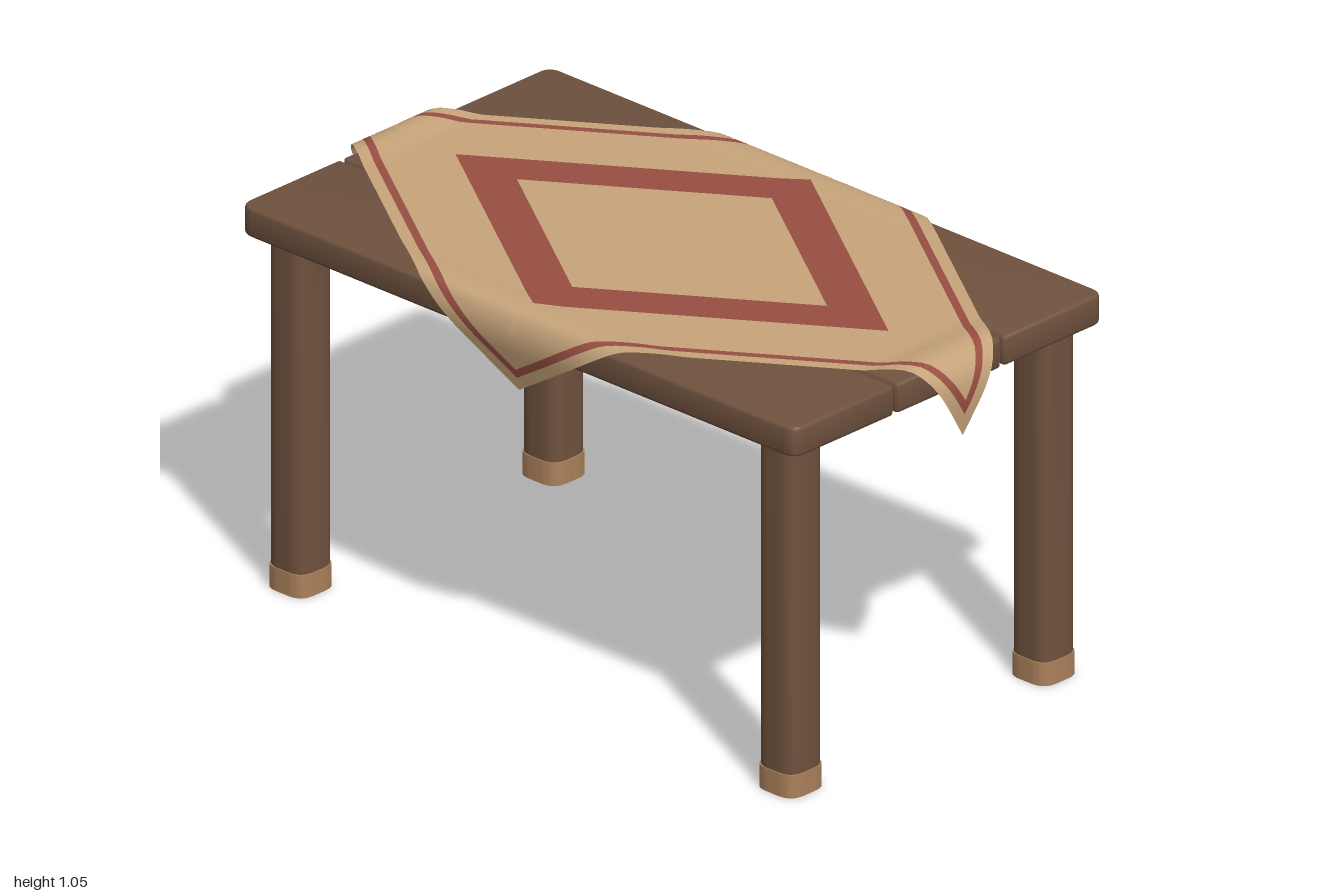
import * as THREE from 'three';
import { toCreasedNormals } from 'three/addons/utils/BufferGeometryUtils.js';

const mat = (name, color, side = THREE.FrontSide) => {
  const m = new THREE.MeshStandardMaterial({ color, side });
  m.name = name;
  return m;
};

// Upright block from y0 to y1 whose plan is a rectangle with rounded corners.
// rl and rr are the corner radii on the -x and +x sides.
function block(x0, x1, z0, z1, y0, y1, rl, rr, bevel = 0) {
  const s = new THREE.Shape();
  const [l, r, b, t] = [x0 + bevel, x1 - bevel, z0 + bevel, z1 - bevel];
  s.moveTo(l + rl, b);
  s.lineTo(r - rr, b);
  s.quadraticCurveTo(r, b, r, b + rr);
  s.lineTo(r, t - rr);
  s.quadraticCurveTo(r, t, r - rr, t);
  s.lineTo(l + rl, t);
  s.quadraticCurveTo(l, t, l, t - rl);
  s.lineTo(l, b + rl);
  s.quadraticCurveTo(l, b, l + rl, b);
  const g = new THREE.ExtrudeGeometry(s, {
    depth: y1 - y0 - 2 * bevel, curveSegments: 8, bevelEnabled: bevel > 0,
    bevelSize: bevel, bevelThickness: bevel, bevelSegments: 3,
  });
  g.rotateX(-Math.PI / 2);
  g.translate(0, y0 + bevel, 0);
  return toCreasedNormals(g, 0.7);
}

// Fold profile: distance from the cloth centre -> position outward and height.
function foldProfile(points, reach) {
  const curve = new THREE.CatmullRomCurve3(points.map(([u, y]) => new THREE.Vector3(u, y, 0)));
  const start = points[0][0];
  return (d) => {
    const u = Math.abs(d);
    if (u <= start) return [d, 0];
    const p = curve.getPointAt(Math.min(1, (u - start) / (reach - start)));
    return [Math.sign(d) * p.x, p.y - CLOTH_Y];
  };
}

const CLOTH_Y = 1.045;
const A = 0.775; // half diagonals of the unfolded cloth
const B = 1.155;

// Diamond cloth in concentric rings, bent over all four table edges.
function clothGeometry() {
  const foldX = foldProfile([[0.45, 1.045], [0.5, 1.048], [0.545, 1.04], [0.566, 1.0],
    [0.568, 0.96], [0.56, 0.92], [0.54, 0.83]], A);
  const foldZ = foldProfile([[0.85, 1.045], [0.9, 1.054], [0.95, 1.05], [0.985, 1.01],
    [0.995, 0.96], [0.985, 0.845]], B);
  // [outer ring, steps, material index]
  const bands = [[0.455, 4, 0], [0.635, 3, 1], [0.92, 16, 0], [0.952, 2, 1], [1, 3, 0]];
  const per = 56, loop = per * 4;
  const corners = [[1, 0], [0, 1], [-1, 0], [0, -1]];
  const pos = [], index = [];
  const g = new THREE.BufferGeometry();

  const addRing = (s) => {
    for (let j = 0; j < loop; j++) {
      const q = Math.floor(j / per), t = (j % per) / per;
      const c = corners[q], n = corners[(q + 1) % 4];
      const [x, dy] = foldX(A * s * (c[0] * (1 - t) + n[0] * t));
      const [z, dz] = foldZ(B * s * (c[1] * (1 - t) + n[1] * t));
      pos.push(x, CLOTH_Y + dy + dz, z);
    }
  };

  addRing(0);
  let inner = 0, ring = 0;
  for (const [outer, steps, m] of bands) {
    const first = index.length;
    for (let k = 1; k <= steps; k++) {
      addRing(inner + ((outer - inner) * k) / steps);
      for (let j = 0; j < loop; j++) {
        const j2 = (j + 1) % loop;
        const a = ring * loop + j, d = ring * loop + j2;
        const b = a + loop, c = d + loop;
        index.push(a, d, c, a, c, b);
      }
      ring++;
    }
    g.addGroup(first, index.length - first, m);
    inner = outer;
  }
  g.setAttribute('position', new THREE.Float32BufferAttribute(pos, 3));
  g.setIndex(index);
  g.computeVertexNormals();
  return g;
}

export function createModel() {
  const model = new THREE.Group();
  model.name = 'tableWithCloth';
  const wood = mat('brownWood', 0x6f523e);
  const footWood = mat('lightWood', 0xac815b);
  const cloth = mat('tanCloth', 0xc7a47b, THREE.DoubleSide);
  const red = mat('redStripe', 0x984e42, THREE.DoubleSide);

  const add = (name, geometry, material, parent = model) => {
    const mesh = new THREE.Mesh(geometry, material);
    mesh.name = name;
    parent.add(mesh);
    return mesh;
  };

  // Table top: three boards with narrow grooves between them
  const top = new THREE.Group();
  top.name = 'tableTop';
  model.add(top);
  add('leftBoard', block(0.195, 0.548, -0.94, 0.94, 0.95, 1.03, 0.003, 0.03, 0.008), wood, top);
  add('middleBoard', block(-0.184, 0.184, -0.94, 0.94, 0.95, 1.03, 0.003, 0.003, 0.008), wood, top);
  add('rightBoard', block(-0.548, -0.195, -0.94, 0.94, 0.95, 1.03, 0.03, 0.003, 0.008), wood, top);
  for (const s of [-1, 1]) {
    const filler = add('grooveFiller', new THREE.BoxGeometry(0.03, 0.066, 1.85), wood, top);
    filler.position.set(s * 0.19, 0.988, 0);
  }

  // Four rounded square legs with pale feet
  const legGeo = block(-0.062, 0.062, -0.062, 0.062, 0.05, 0.955, 0.045, 0.045);
  const footGeo = block(-0.065, 0.065, -0.065, 0.065, 0, 0.062, 0.045, 0.045);
  for (const x of [-0.447, 0.447]) {
    for (const z of [-0.83, 0.83]) {
      const leg = new THREE.Group();
      leg.name = (z > 0 ? 'front' : 'back') + (x > 0 ? 'Left' : 'Right') + 'Leg';
      leg.position.set(x, 0, z);
      add('post', legGeo, wood, leg);
      add('foot', footGeo, footWood, leg);
      model.add(leg);
    }
  }

  // Draped diamond cloth with red bands
  add('tablecloth', clothGeometry(), [cloth, red]);
  return model;
}
